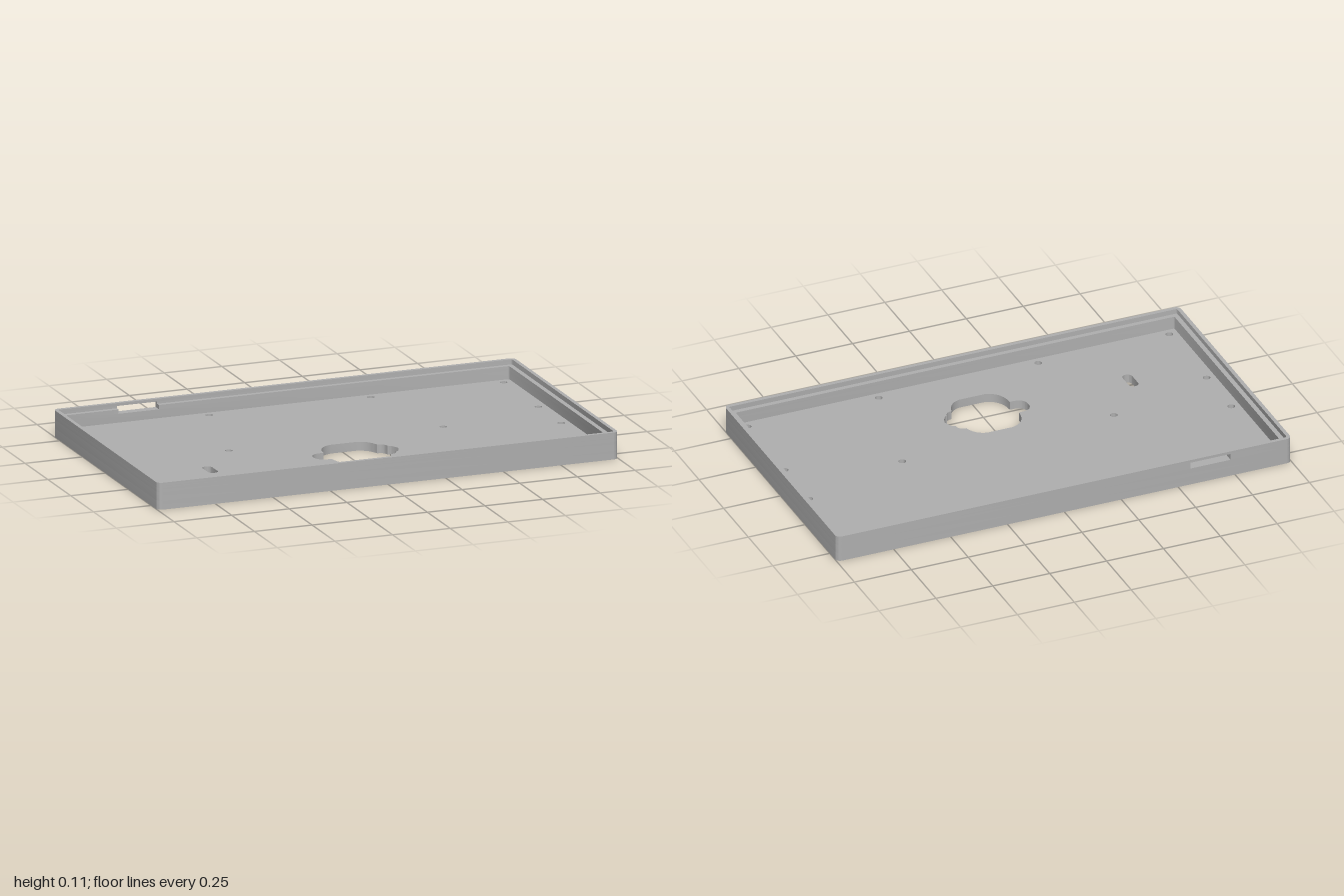
import * as THREE from 'three';
import { toCreasedNormals } from 'three/addons/utils/BufferGeometryUtils.js';

const HW = 1, HD = 0.573;              // half width and half depth
const LIP = 0.016, WALL = 0.036;       // thickness of upper lip and of lower wall
const FLOOR = 0.037, LEDGE = 0.092, TOP = 0.113;
const SLOT = { x0: -0.73, x1: -0.555, y0: 0.074, y1: 0.101 };

// Rounded rectangle, anticlockwise from the back left corner (plan y = -z)
function outline(inset, r) {
  const w = HW - inset - r, d = HD - inset - r, pts = [];
  [[-w, d], [-w, -d], [w, -d], [w, d]].forEach(([x, y], i) => {
    for (let k = 0; k <= 6; k++) {
      const a = Math.PI / 2 * (i + 1 + k / 6);
      pts.push(new THREE.Vector2(x + r * Math.cos(a), y + r * Math.sin(a)));
    }
  });
  return pts;
}

// Wall plan: a closed ring, or a ring broken by the port in the back side
function ringShape(thickness, broken) {
  const outer = outline(0, 0.022), inner = outline(thickness, 0.006);
  if (!broken) {
    const s = new THREE.Shape(outer);
    s.holes.push(new THREE.Path(inner));
    return s;
  }
  const v = (x, y) => new THREE.Vector2(x, y), di = HD - thickness;
  return new THREE.Shape([
    v(SLOT.x0, HD), ...outer, v(SLOT.x1, HD),
    v(SLOT.x1, di), ...inner.reverse(), v(SLOT.x0, di),
  ]);
}

// Central cutout: rounded body with a tab on each side
function cutoutPath() {
  const p = new THREE.Path(), cx = 0.003, cy = -0.217;
  const m = (x, y) => p.moveTo(cx + x, cy + y);
  const l = (x, y) => p.lineTo(cx + x, cy + y);
  const q = (a, b, x, y) => p.quadraticCurveTo(cx + a, cy + b, cx + x, cy + y);
  m(-0.055, 0.143);
  l(0.055, 0.143);
  q(0.105, 0.133, 0.12, 0.077);
  q(0.15, 0.077, 0.152, 0.045);
  q(0.168, 0.045, 0.182, 0);
  q(0.168, -0.045, 0.152, -0.045);
  q(0.15, -0.068, 0.12, -0.072);
  q(0.105, -0.133, 0.055, -0.143);
  l(-0.055, -0.143);
  q(-0.122, -0.128, -0.125, -0.046);
  l(-0.145, -0.046);
  q(-0.187, -0.042, -0.187, 0);
  q(-0.187, 0.042, -0.145, 0.046);
  l(-0.125, 0.046);
  q(-0.122, 0.128, -0.055, 0.143);
  return p;
}

function floorShape() {
  const s = new THREE.Shape(outline(0, 0.022));
  // screw holes around the edge, plus two on the centre line
  const spots = [[0.465, 0], [0.927, 0.125], [0.927, -0.125]];
  for (const x of [0.35, 0.927]) spots.push([x, 0.503], [x, -0.503]);
  for (const [x, y] of spots) {
    for (const side of [-1, 1]) {
      s.holes.push(new THREE.Path().absarc(side * x, y, 0.0155, 0, Math.PI * 2, true));
    }
  }
  // small rounded slot
  const slot = new THREE.Path(), x = -0.636, r = 0.021;
  slot.absarc(x, -0.198, r, 0, Math.PI, false);
  slot.absarc(x, -0.255, r, Math.PI, Math.PI * 2, false);
  slot.closePath();
  s.holes.push(slot, cutoutPath());
  return s;
}

export function createModel() {
  const group = new THREE.Group();
  group.name = 'enclosureTray';
  const grey = new THREE.MeshStandardMaterial({ color: 0xb0b0b0 });
  grey.name = 'grey';

  // Extrudes a plan shape between two heights
  function layer(name, shape, y0, y1) {
    const g = new THREE.ExtrudeGeometry(shape, { depth: y1 - y0, bevelEnabled: false, curveSegments: 10 });
    g.rotateX(-Math.PI / 2);
    g.translate(0, y0, 0);
    const mesh = new THREE.Mesh(toCreasedNormals(g, Math.PI / 5), grey);
    mesh.name = name;
    group.add(mesh);
  }

  layer('floorPlate', floorShape(), 0, FLOOR);
  layer('lowerWall', ringShape(WALL, false), FLOOR, SLOT.y0);
  layer('ledgeWall', ringShape(WALL, true), SLOT.y0, LEDGE);
  layer('lowerLip', ringShape(LIP, true), LEDGE, SLOT.y1);
  layer('upperLip', ringShape(LIP, false), SLOT.y1, TOP);
  return group;
}
